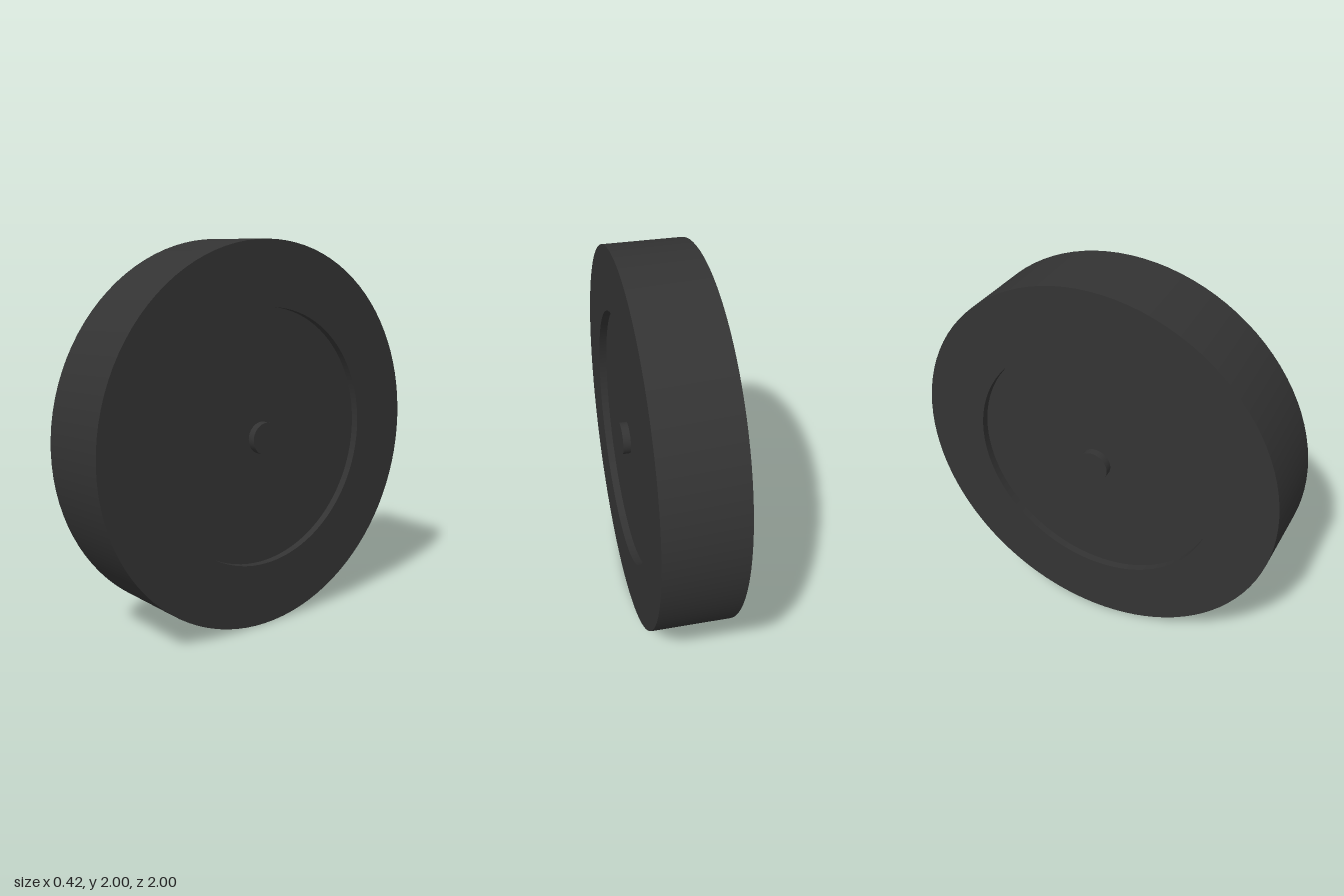
import * as THREE from 'three';
import { toCreasedNormals } from 'three/addons/utils/BufferGeometryUtils.js';

const SEGMENTS = 96;
const HALF_WIDTH = 0.208;
const RECESS_DEPTH = 0.04;
const RECESS_RADIUS = 0.667;
const HUB_RADIUS = 0.083;

export function createModel() {
  const material = new THREE.MeshStandardMaterial({ color: 0x333333 });
  const wheel = new THREE.Group();
  wheel.name = 'wheel';

  const add = (name, geometry) => {
    const mesh = new THREE.Mesh(geometry, material);
    mesh.name = name;
    wheel.add(mesh);
    return mesh;
  };

  // Tyre: a rectangular ring turned about the axle
  const profile = [
    [RECESS_RADIUS, -HALF_WIDTH],
    [1, -HALF_WIDTH],
    [1, HALF_WIDTH],
    [RECESS_RADIUS, HALF_WIDTH],
    [RECESS_RADIUS, -HALF_WIDTH],
  ].map(([r, y]) => new THREE.Vector2(r, y));
  add('tyre', toCreasedNormals(new THREE.LatheGeometry(profile, SEGMENTS), 0.6));

  // Disc: fills the ring, set back on both sides
  const discHeight = 2 * (HALF_WIDTH - RECESS_DEPTH);
  add('disc', new THREE.CylinderGeometry(RECESS_RADIUS, RECESS_RADIUS, discHeight, SEGMENTS));

  // Hub: axle stubs level with the tyre's sides
  for (const side of [1, -1]) {
    const hub = add(
      side > 0 ? 'rightHub' : 'leftHub',
      new THREE.CylinderGeometry(HUB_RADIUS, HUB_RADIUS, RECESS_DEPTH, 48)
    );
    hub.position.y = side * (HALF_WIDTH - RECESS_DEPTH / 2);
  }

  // Lay the axle along x and stand the wheel on the ground
  wheel.rotation.z = Math.PI / 2;
  wheel.position.y = 1;

  const model = new THREE.Group();
  model.name = 'wheelModel';
  model.add(wheel);
  return model;
}
